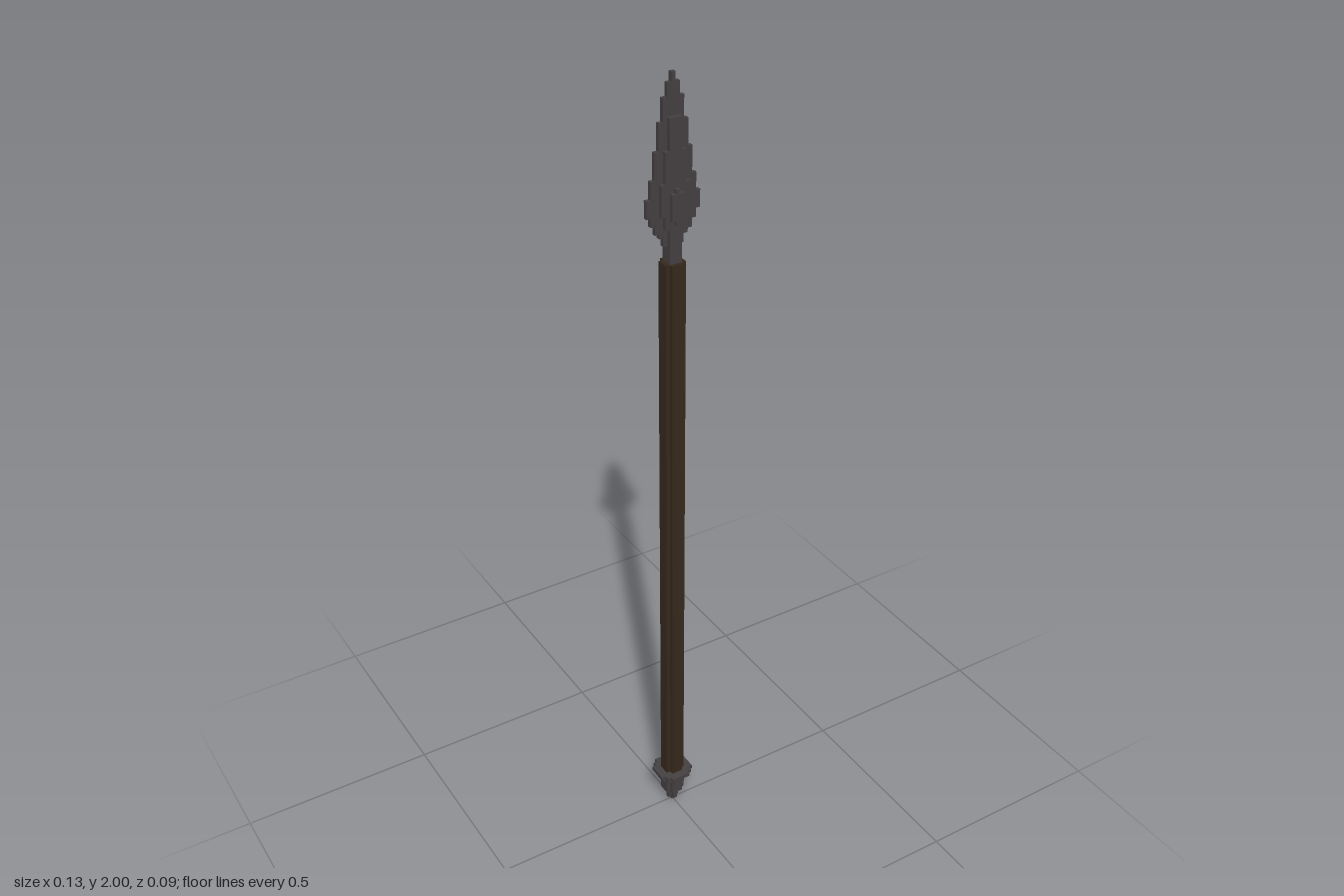
import * as THREE from 'three';

// one block of the stepped, blocky grid; the spear is 196 blocks tall
const V = 2 / 196;

// Mirrored stepped outline from rows of [blocks each side of the middle one, row count]
function steppedShape(rows, startY) {
  const right = [];
  let y = startY;
  for (const [half, count] of rows) {
    const x = (half + 0.5) * V;
    right.push(new THREE.Vector2(x, y * V), new THREE.Vector2(x, (y + count) * V));
    y += count;
  }
  const left = right.map((p) => new THREE.Vector2(-p.x, p.y)).reverse();
  return new THREE.Shape([...right, ...left]);
}

function extrude(shape, depth) {
  return new THREE.ExtrudeGeometry(shape, { depth: depth * V, bevelEnabled: false });
}

// Stepped round cross-sections by diameter in blocks
const ROUND = {
  1: [[0, 1]],
  3: [[0, 1], [1, 1], [0, 1]],
  5: [[1, 1], [2, 3], [1, 1]],
  7: [[1, 1], [2, 1], [3, 3], [2, 1], [1, 1]],
  9: [[2, 1], [3, 1], [4, 5], [3, 1], [2, 1]],
};

export function createModel() {
  const metal = new THREE.MeshStandardMaterial({ color: 0x443f40 });
  metal.name = 'dark metal';
  const wood = new THREE.MeshStandardMaterial({ color: 0x35281c });
  wood.name = 'dark wood';

  const spear = new THREE.Group();
  spear.name = 'spear';

  // Upright stepped cylinder
  function disc(name, diameter, from, height, material, parent) {
    const geometry = extrude(steppedShape(ROUND[diameter], -diameter / 2), height);
    geometry.rotateX(-Math.PI / 2);
    const mesh = new THREE.Mesh(geometry, material);
    mesh.name = name;
    mesh.position.y = from * V;
    parent.add(mesh);
  }

  // Butt spike: tapering discs ending in a wide collar
  const butt = new THREE.Group();
  butt.name = 'buttSpike';
  let y = 0;
  for (const [diameter, height] of [[1, 1], [3, 3], [5, 4], [7, 2], [9, 1]]) {
    disc(diameter === 9 ? 'buttCollar' : 'buttStep', diameter, y, height, metal, butt);
    y += height;
  }
  spear.add(butt);

  // Shaft
  disc('shaft', 5, y, 155 - y, wood, spear);

  // Spearhead: three nested outlines, each thicker than the last
  const head = new THREE.Group();
  head.name = 'spearhead';
  const layers = [
    ['bladeEdge', 1, 159, [[2, 2], [3, 1], [4, 2], [5, 2], [6, 4], [5, 4], [4, 6], [3, 6], [2, 5], [1, 3], [0, 2]]],
    ['bladeRidgeAndNeck', 3, 155, [[1, 8], [2, 3], [3, 7], [2, 7], [1, 7]]],
    ['bladeBoss', 5, 164, [[0, 1], [1, 6], [0, 1]]],
  ];
  for (const [name, depth, start, rows] of layers) {
    const geometry = extrude(steppedShape(rows, start), depth);
    geometry.translate(0, 0, (-depth * V) / 2);
    const mesh = new THREE.Mesh(geometry, metal);
    mesh.name = name;
    head.add(mesh);
  }
  spear.add(head);

  return spear;
}
